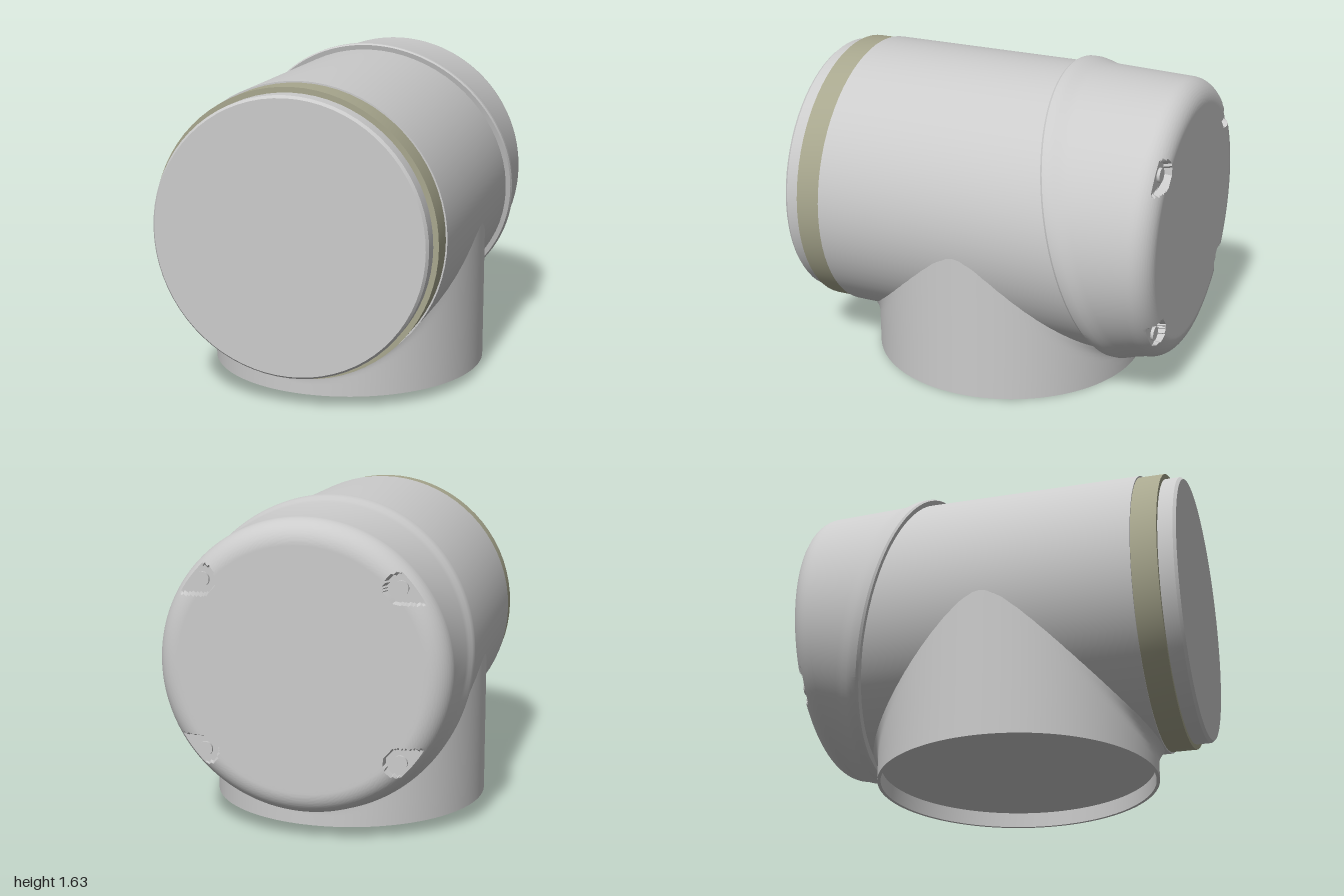
import * as THREE from 'three';
import { toCreasedNormals } from 'three/addons/utils/BufferGeometryUtils.js';

const CY = 0.867; // height of the horizontal axis
const BODY_R = 0.73;

const grey = new THREE.MeshStandardMaterial({ color: 0xcccccc });
const bandGrey = new THREE.MeshStandardMaterial({ color: 0xa8a78e });

// Skin of quads over rows of n points; point(row, angle) returns [x, y, z]
function loft(rows, n, point, crease = 0.5) {
  const pos = [], index = [];
  rows.forEach((row, i) => {
    for (let j = 0; j < n; j++) {
      pos.push(...point(row, (j / n) * Math.PI * 2));
      if (i === rows.length - 1) continue;
      const a = i * n + j, b = i * n + ((j + 1) % n), c = a + n, d = b + n;
      index.push(a, c, b, b, c, d);
    }
  });
  const g = new THREE.BufferGeometry();
  g.setAttribute('position', new THREE.Float32BufferAttribute(pos, 3));
  g.setIndex(index);
  return toCreasedNormals(g, crease);
}

// Turned part on the z axis, profile of [radius, z] from back to front
function turned(profile) {
  const g = new THREE.LatheGeometry(profile.map(([r, z]) => new THREE.Vector2(r, z)), 72);
  g.rotateX(Math.PI / 2);
  return toCreasedNormals(g, 0.5);
}

export function createModel() {
  const model = new THREE.Group();
  const add = (name, geometry, material, x = 0, y = 0, z = 0) => {
    const mesh = new THREE.Mesh(geometry, material);
    mesh.name = name;
    mesh.position.set(x, y, z);
    model.add(mesh);
    return mesh;
  };

  // Horizontal barrel, coloured band and front plug
  add('barrel', turned([[0, -0.85], [0.7, -0.85], [BODY_R, -0.6], [BODY_R, 0.78], [0.7, 0.78]]), grey, 0, CY);
  add('band', turned([[0.7, 0.78], [0.722, 0.78], [0.722, 0.91], [0.68, 0.91]]), bandGrey, 0, CY);
  add('frontPlug', turned([[0.695, 0.9], [0.695, 0.985], [0.683, 1], [0, 1]]), grey, 0, CY);

  // Vertical outlet: recessed floor, rim, and wall rising to meet the barrel,
  // with a small flare where the barrel overhangs at front and back
  const R = 0.722;
  const wall = [0, 0.4, 0.6, 0.7, 0.8, 0.87, 0.94, 1].map((v) => ({ v }));
  const outletRows = [{ r: 0, y: 0.08 }, { r: 0.705, y: 0.08 }, { r: 0.705, y: 0 }, ...wall];
  add('outlet', loft(outletRows, 120, ({ r, y, v }, a) => {
    if (v !== undefined) {
      const x = R * Math.cos(a);
      const top = CY - Math.sqrt(BODY_R ** 2 - x * x) + 0.004;
      y = v * top;
      const near = Math.max(0, 1 - (top - y) / 0.06);
      r = R + 0.036 * near * near * Math.abs(Math.sin(a)) ** 6;
    }
    return [r * Math.cos(a), y, r * Math.sin(a)];
  }), grey, 0, 0, 0.02);

  // Rear cap: slanted lip, tapered skirt, rounded corner, flat face
  const lip = [[0.725, 0], [0.755, 0], [0.762, 0.012], [0.762, 0.04], [0.756, 0.065], [0.746, 0.095], [0.738, 0.13]]
    .map(([r, s]) => ({ r, s }));
  const corner = [], face = [];
  for (let i = 0; i <= 28; i++) {
    const t = (i / 28) * Math.PI / 2;
    corner.push({ r: 0.605 + 0.12 * Math.cos(t), z: -0.88 - 0.12 * Math.sin(t) });
  }
  for (let i = 1; i <= 24; i++) face.push({ r: 0.605 - i * 0.009, z: -1 });
  face.push({ r: 0, z: -1 });

  // Four screw pockets: round at the inner end, open towards the sides
  const SX = 0.485, SY = 0.42, POCKET_R = 0.072, FLOOR = -0.96;
  const inPocket = (x, y) => {
    const dx = Math.min(0, Math.abs(x) - SX), dy = Math.abs(y) - SY;
    return Math.hypot(dx, dy) < POCKET_R;
  };
  add('rearCap', loft([...lip, ...corner, ...face], 360, ({ r, s, z }, a) => {
    const x = r * Math.cos(a), y = r * Math.sin(a);
    if (s !== undefined) z = -0.32 - (0.762 - y) * 0.266 - s;
    else if (inPocket(x, y)) z = Math.max(z, FLOOR);
    return [x, y, z];
  }), grey, 0, CY);

  // Screw heads in the pockets
  const screw = new THREE.CylinderGeometry(0.036, 0.036, 0.03, 24).rotateX(Math.PI / 2);
  for (const sx of [-1, 1]) {
    for (const sy of [-1, 1]) add('screwHead', screw, grey, sx * SX, CY + sy * SY, FLOOR);
  }

  return model;
}
